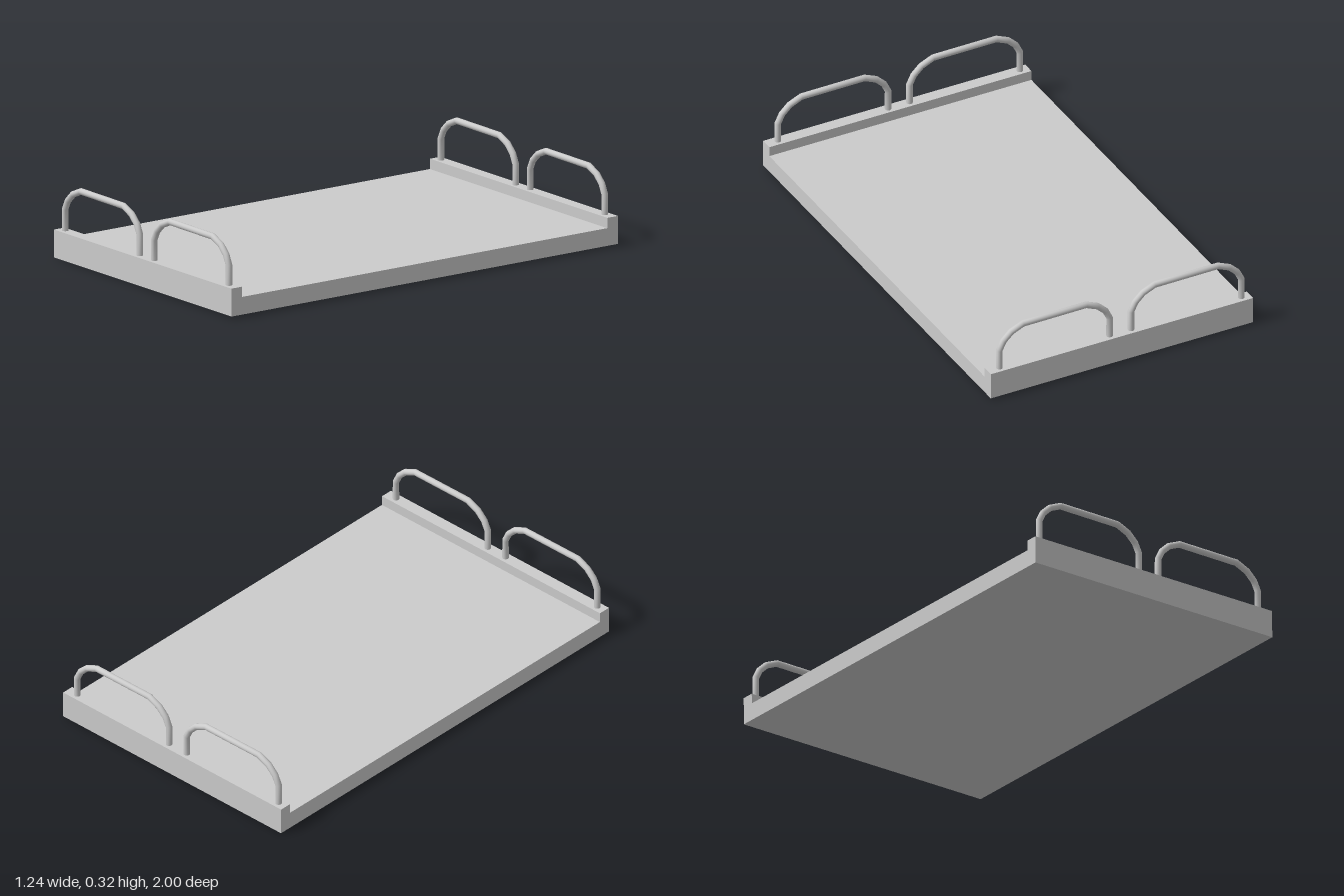
import * as THREE from 'three';

// Curve that steps exactly through its corner points, so a tube keeps crisp bends
class BentRod extends THREE.Curve {
  constructor(points) {
    super();
    this.points = points;
  }
  index(u) {
    return Math.round(u * (this.points.length - 1));
  }
  getPointAt(u, target = new THREE.Vector3()) {
    return target.copy(this.points[this.index(u)]);
  }
  getPoint(u, target) {
    return this.getPointAt(u, target);
  }
  getTangentAt(u, target = new THREE.Vector3()) {
    const p = this.points, i = this.index(u), last = p.length - 1;
    const before = i > 0 ? p[i].clone().sub(p[i - 1]).normalize() : new THREE.Vector3();
    const after = i < last ? p[i + 1].clone().sub(p[i]).normalize() : new THREE.Vector3();
    return target.copy(before.add(after).normalize());
  }
}

export function createModel() {
  const model = new THREE.Group();
  model.name = 'railedPlatform';
  const material = new THREE.MeshStandardMaterial({ color: 0xcccccc });

  // Platform: flat bed with a raised lip at each end, drawn as (z, y) and extruded across x
  const width = 1.236, end = 1, lipInner = 0.945, bedTop = 0.076, lipTop = 0.12;
  const profile = new THREE.Shape([
    [-end, 0], [end, 0], [end, lipTop], [lipInner, lipTop],
    [lipInner, bedTop], [-lipInner, bedTop], [-lipInner, lipTop], [-end, lipTop],
  ].map(([z, y]) => new THREE.Vector2(z, y)));
  const platformGeometry = new THREE.ExtrudeGeometry(profile, { depth: width, bevelEnabled: false });
  platformGeometry.translate(0, 0, -width / 2).rotateY(Math.PI / 2);
  const platform = new THREE.Mesh(platformGeometry, material);
  platform.name = 'platform';
  platform.position.y = 0.003;
  platform.rotation.z = 0.005; // the bed sits very slightly off level
  model.add(platform);

  // Hoop rail: one half as (x, y), mirrored to make the whole arch; feet sink into the lip
  const half = [[-0.26, 0.1], [-0.26, 0.212], [-0.24, 0.253], [-0.204, 0.287], [-0.149, 0.311]];
  const arch = [...half, ...half.map(([x, y]) => [-x, y]).reverse()];
  const rod = new BentRod(arch.map(([x, y]) => new THREE.Vector3(x, y, 0)));
  const hoopGeometry = new THREE.TubeGeometry(rod, arch.length - 1, 0.014, 12);

  // Two hoops side by side on each end lip
  for (const [endName, z] of [['front', 0.972], ['back', -0.972]]) {
    for (const [side, x] of [['Right', -0.318], ['Left', 0.303]]) {
      const hoop = new THREE.Mesh(hoopGeometry, material);
      hoop.name = `${endName}${side}HoopRail`;
      hoop.position.set(x, 0, z);
      model.add(hoop);
    }
  }
  return model;
}
